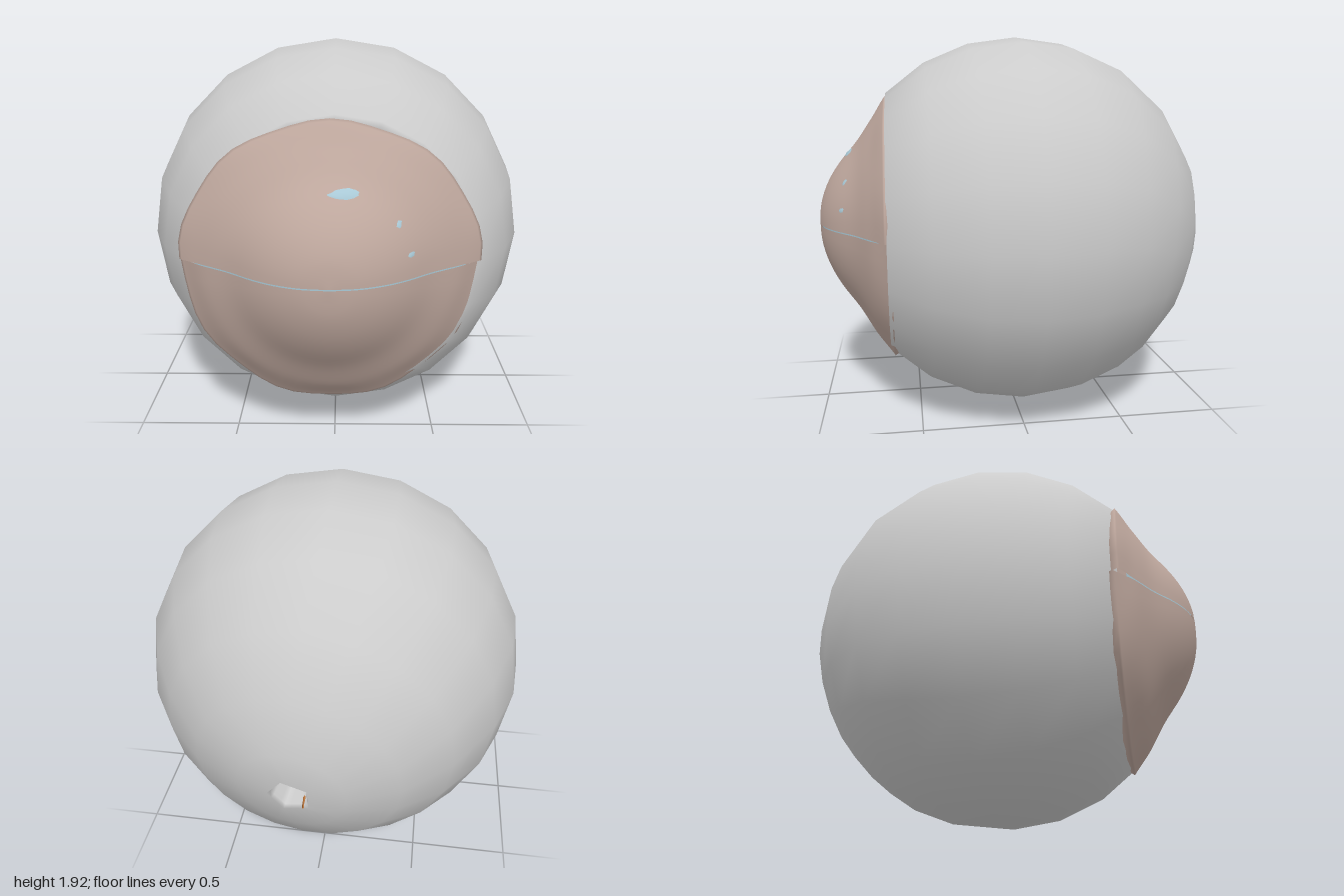
import * as THREE from 'three';
import { mergeVertices } from 'three/addons/utils/BufferGeometryUtils.js';

const CY = 0.958, CZ = -0.04, R = 0.96;   // ball centre and radius
const LID_X = -0.02, LID_Y = 0.965;       // middle of the lids

// Lid height along z against relative radius (0 = middle, 1 = rim)
const lidCurve = new THREE.SplineCurve([
  [0, 1], [0.17, 0.988], [0.33, 0.95], [0.48, 0.89], [0.65, 0.80], [0.8, 0.735], [0.92, 0.682], [1, 0.645],
].map(p => new THREE.Vector2(...p)));

const mat = (color, side = THREE.DoubleSide) => new THREE.MeshStandardMaterial({ color, side });

// Lathe turned so its axis is +z, with every vertex moved by a rule
function turned(profile, segments, start, length, move) {
  const geo = new THREE.LatheGeometry(profile, segments, start, length);
  geo.rotateX(Math.PI / 2);
  const pos = geo.attributes.position, v = new THREE.Vector3();
  for (let i = 0; i < pos.count; i++) {
    move(v.fromBufferAttribute(pos, i));
    pos.setXYZ(i, v.x, v.y, v.z);
  }
  geo.deleteAttribute('uv');
  geo.deleteAttribute('normal');
  const merged = mergeVertices(geo, 1e-4);
  merged.computeVertexNormals();
  return merged;
}

function add(group, name, geo, material) {
  const mesh = new THREE.Mesh(geo, material);
  mesh.name = name;
  group.add(mesh);
  return mesh;
}

// Ball with an open front and a five-sided pit at the back
function eyeballGeometry() {
  const profile = [[0, -0.80], [0.065, -0.82], [0.085, -0.935], [0.095, -0.953]]
    .map(p => new THREE.Vector2(...p));
  const first = 0.27, last = Math.PI - 0.775, steps = 8;
  for (let i = 0; i <= steps; i++) {
    const a = first + (last - first) * i / steps;
    profile.push(new THREE.Vector2(R * Math.sin(a), -R * Math.cos(a)));
  }
  profile.push(new THREE.Vector2(0.61, 0.66));
  const tilt = new THREE.Quaternion().setFromUnitVectors(
    new THREE.Vector3(0, 0, -1), new THREE.Vector3(0.08, -0.14, -0.94).normalize());
  const none = new THREE.Quaternion(), q = new THREE.Quaternion();
  return turned(profile, 20, 0, Math.PI * 2, v => {
    const r = Math.hypot(v.x, v.y);
    if (r < 0.11 && v.z < 0) {
      const side = Math.PI * 2 / 5;
      const a = (Math.atan2(v.y, v.x) + Math.PI * 2) % side;
      const k = 0.9 / Math.cos(a - side / 2);
      v.x *= k;
      v.y *= k;
    }
    // Swing the back rings towards the off-centre pit
    q.slerpQuaternions(none, tilt, THREE.MathUtils.smoothstep(-v.z, 0.3, 0.9));
    v.applyQuaternion(q);
    v.y += CY;
    v.z += CZ;
  });
}

// Half shell with thickness; the rim is slightly wavy
function lidGeometry(upper) {
  const outer = lidCurve.getPoints(24);
  const inner = outer.map(p => new THREE.Vector2(p.x * 0.97, p.y - 0.03));
  const profile = [...inner, ...outer.reverse()];
  profile.forEach(p => { p.x = Math.max(p.x, 0); });
  return turned(profile, 24, upper ? Math.PI / 2 : -Math.PI / 2, Math.PI, v => {
    const r = Math.hypot(v.x, v.y);
    const edge = THREE.MathUtils.smoothstep(r, 0.82, 1);
    const wave = 1 + 0.01 * edge * Math.sin(9 * Math.atan2(v.y, v.x));
    v.x = LID_X + v.x * 0.69 * wave;
    v.y = LID_Y + v.y * (upper ? 0.64 : 0.715) * wave + (upper ? 0.003 : -0.003);
    v.z += edge * (upper ? 0.005 : -0.018);
  });
}

// Iris dome just beneath the lids, with bumps that break through the upper one
function irisGeometry() {
  const bumps = [[0.05, 1.33, 0.10, 0.035], [0.0, 1.325, 0.05, 0.015],
    [0.275, 1.2, 0.02, 0.03], [0.33, 1.07, 0.025, 0.02]];
  const profile = lidCurve.getPoints(60).filter(p => p.x < 0.9).reverse()
    .map(p => new THREE.Vector2(Math.max(p.x, 0), p.y - 0.012));
  return turned(profile, 96, 0, Math.PI * 2, v => {
    v.x = LID_X + v.x * 0.69;
    v.y = LID_Y + v.y * (v.y > 0 ? 0.64 : 0.715);
    let lift = 0;
    for (const [x, y, w, h] of bumps) {
      lift = Math.max(lift, Math.exp(-(((v.x - x) / w) ** 2) - ((v.y - y) / h) ** 2));
    }
    v.z += 0.02 * lift;
  });
}

export function createModel() {
  const model = new THREE.Group();
  model.name = 'eye';

  add(model, 'eyeball', eyeballGeometry(), mat(0xcccccc));
  add(model, 'iris', irisGeometry(), mat(0xa9c9d6));
  add(model, 'upperLid', lidGeometry(true), mat(0xbfa89e));
  add(model, 'lowerLid', lidGeometry(false), mat(0xbfa89e));

  // Small stub of nerve at the edge of the pit
  const nerve = add(model, 'nerve', new THREE.ConeGeometry(0.025, 0.06, 3), mat(0xb8743c));
  nerve.position.set(0.02, 0.755, -0.955);
  nerve.rotation.x = -Math.PI / 2;

  return model;
}
